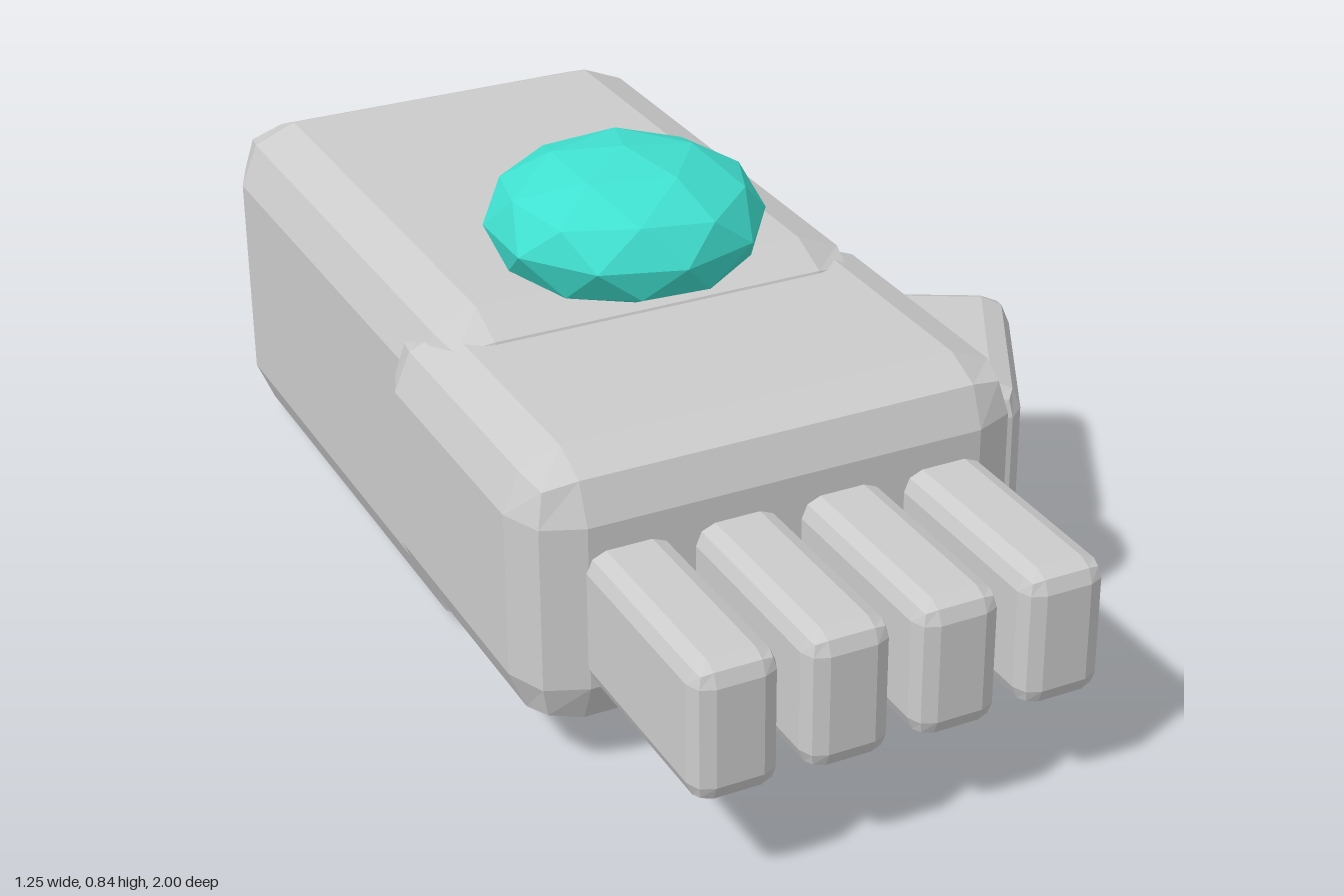
import * as THREE from 'three';
import { RoundedBoxGeometry } from 'three/addons/geometries/RoundedBoxGeometry.js';

export function createModel() {
  const group = new THREE.Group();
  const grey = new THREE.MeshStandardMaterial({ color: 0xcccccc, flatShading: true });

  // Box with two-facet bevelled edges
  function block(name, size, bevel, position, turn = 0) {
    const mesh = new THREE.Mesh(new RoundedBoxGeometry(...size, 1, bevel), grey);
    mesh.name = name;
    mesh.position.set(...position);
    mesh.rotation.y = turn;
    group.add(mesh);
  }

  block('forearm', [0.865, 0.63, 1.163], 0.115, [-0.162, 0.315, -0.4185]);
  block('palm', [0.94, 0.51, 0.68], 0.103, [-0.16, 0.337, 0.268]);
  block('thumb', [0.285, 0.305, 0.456], 0.055, [0.41, 0.257, 0.137], -0.5);

  // Row of four fingers
  for (let i = 0; i < 4; i++) {
    block(`finger${i + 1}`, [0.153, 0.25, 0.5], 0.035, [-0.454 + i * 0.1965, 0.316, 0.75]);
  }

  // Faceted gem: icosphere with a corner on top and a flattened base
  const gemGeometry = new THREE.IcosahedronGeometry(1, 1);
  gemGeometry.rotateZ(-Math.atan(2 / (1 + Math.sqrt(5))));
  const points = gemGeometry.attributes.position;
  for (let i = 0; i < points.count; i++) points.setY(i, Math.max(points.getY(i), -0.8));
  gemGeometry.scale(0.2545, 0.135, 0.2545);
  gemGeometry.computeVertexNormals();
  const gem = new THREE.Mesh(
    gemGeometry,
    new THREE.MeshStandardMaterial({ color: 0x40e0d0, flatShading: true })
  );
  gem.name = 'gem';
  gem.position.set(-0.16, 0.71, -0.02);
  group.add(gem);

  return group;
}
